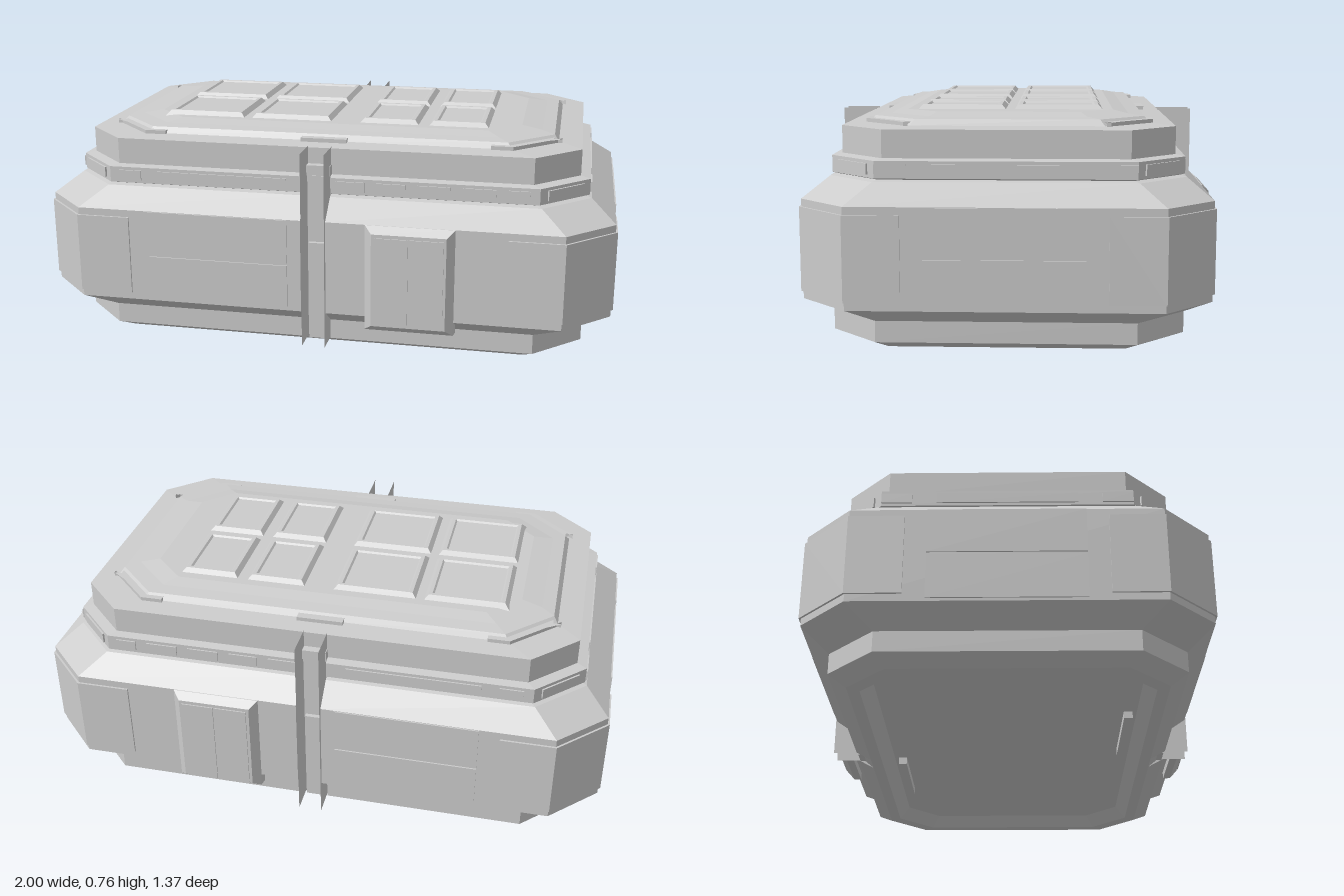
import * as THREE from 'three';

const mat = new THREE.MeshStandardMaterial({ color: 0xcccccc, flatShading: true, side: THREE.DoubleSide });
const NOTCH_X = 0.043, NOTCH_Z = 0.555;

// Chamfered rectangle in plan, optionally with a slot in the middle of each long side
function ring([hx, hz, c, y], notched) {
  const half = s => {
    const pts = [[-hx + c, hz]];
    if (notched) {
      const d = Math.min(hz, NOTCH_Z);
      pts.push([-NOTCH_X, hz], [-NOTCH_X, d], [NOTCH_X, d], [NOTCH_X, hz]);
    }
    pts.push([hx - c, hz], [hx, hz - c]);
    // start of the end face closes on the next half
    pts.push([hx, -hz + c]);
    return pts.map(([x, z]) => new THREE.Vector3(s * x, y, s * z));
  };
  return [...half(1), ...half(-1)];
}

// Skin a list of [halfX, halfZ, chamfer, y] sections and cap both ends
function loft(sections, notched = false) {
  const rings = sections.map(s => ring(s, notched));
  const pos = [];
  const tri = (a, b, c) => {
    const n = b.clone().sub(a).cross(c.clone().sub(a));
    if (n.length() > 1e-9) for (const p of [a, b, c]) pos.push(p.x, p.y, p.z);
  };
  const n = rings[0].length;
  for (let r = 0; r < rings.length - 1; r++) {
    const lo = rings[r], up = rings[r + 1];
    for (let i = 0; i < n; i++) {
      const j = (i + 1) % n;
      tri(lo[i], lo[j], up[j]);
      tri(lo[i], up[j], up[i]);
    }
  }
  const first = rings[0], last = rings[rings.length - 1];
  const c0 = new THREE.Vector3(0, first[0].y, 0), c1 = new THREE.Vector3(0, last[0].y, 0);
  for (let i = 0; i < n; i++) {
    const j = (i + 1) % n;
    tri(c0, first[j], first[i]);
    tri(c1, last[i], last[j]);
  }
  const g = new THREE.BufferGeometry();
  g.setAttribute('position', new THREE.Float32BufferAttribute(pos, 3));
  g.computeVertexNormals();
  return g;
}

// Plate that wraps one chamfered corner
function cornerWrap(hx, hz, c, xs, zs, thick, y0, y1, sx, sz) {
  const edge = (d) => {
    const k = c + 0.59 * d;
    return [[xs, hz + d], [hx + d - k, hz + d], [hx + d, hz + d - k], [hx + d, zs]];
  };
  const pts = [...edge(thick), ...edge(-0.015).reverse()];
  const shape = new THREE.Shape(pts.map(([x, z]) => new THREE.Vector2(sx * x, -sz * z)));
  const g = new THREE.ExtrudeGeometry(shape, { depth: y1 - y0, bevelEnabled: false });
  return g.rotateX(-Math.PI / 2).translate(0, y0, 0);
}

export function createModel() {
  const model = new THREE.Group();
  const add = (name, geo) => {
    const m = new THREE.Mesh(geo, mat);
    m.name = name;
    model.add(m);
    return m;
  };
  const box = (name, w, h, d, x, y, z, ry = 0) => {
    const m = add(name, new THREE.BoxGeometry(w, h, d));
    m.position.set(x, y, z);
    m.rotation.y = ry;
    return m;
  };

  // Hull: recessed floor, foot, bulging body, band, upper wall and roof
  add('hull', loft([
    [0.76, 0.44, 0.12, 0.04], [0.80, 0.48, 0.13, 0], [0.84, 0.52, 0.14, 0],
    [0.90, 0.575, 0.16, 0.03], [0.90, 0.575, 0.16, 0.1],
    [0.993, 0.655, 0.16, 0.155], [0.993, 0.655, 0.16, 0.48],
    [0.91, 0.575, 0.16, 0.545], [0.89, 0.555, 0.155, 0.55], [0.903, 0.57, 0.16, 0.555],
    [0.903, 0.57, 0.16, 0.61], [0.87, 0.54, 0.15, 0.615], [0.87, 0.54, 0.15, 0.705],
    [0.79, 0.46, 0.15, 0.71], [0.775, 0.445, 0.15, 0.73],
    [0.73, 0.395, 0.14, 0.735], [0.66, 0.345, 0.11, 0.745],
  ], true));

  // Framed roof panels, a wide set and a narrow set
  const columns = [[-0.475, 0.15], [-0.155, 0.15], [0.2, 0.108], [0.445, 0.108]];
  for (const [x, hx] of columns) for (const z of [-0.163, 0.163]) {
    const hz = 0.152;
    const p = add('roofPanel', loft([
      [hx, hz, 0, 0.74], [hx - 0.018, hz - 0.018, 0, 0.76],
      [hx - 0.03, hz - 0.03, 0, 0.76], [hx - 0.036, hz - 0.036, 0, 0.754],
    ]));
    p.position.set(x, 0, z);
  }

  for (const sx of [-1, 1]) for (const sz of [-1, 1]) {
    // Corner armour, roof corner trim and corner windows of the band
    add('cornerPlate', cornerWrap(0.993, 0.655, 0.16, 0.65, 0.32, 0.007, 0.18, 0.455, sx, sz));
    add('roofCornerTrim', cornerWrap(0.79, 0.46, 0.15, 0.57, 0.33, 0.012, 0.7, 0.722, sx, sz));
    box('cornerWindow', 0.16, 0.035, 0.012, sx * 0.823, 0.582, sz * 0.49, sx * sz * Math.PI / 4);
  }

  for (const s of [-1, 1]) {
    // Long sides: double panel, band windows
    for (const y of [0.241, 0.402]) {
      box('longSidePanel', 0.49, 0.153, 0.012, -0.335, y, s * 0.654);
      box('endPanel', 0.012, 0.153, 0.5, s * 0.992, y, 0);
    }
    const windows = [[-0.67, 0.08], [-0.34, 0.46], [0.11, 0.1], [0.25, 0.1], [0.395, 0.11], [0.545, 0.11], [0.675, 0.07]];
    for (const [x, w] of windows) box('bandWindow', w, 0.035, 0.012, x, 0.582, s * 0.569);

    // End windows of the band
    for (const [z, w] of [[-0.36, 0.1], [0, 0.46], [0.36, 0.1]])
      box('endBandWindow', 0.012, 0.035, w, s * 0.902, 0.582, z);

    // Bulging hatch with a pair of door leaves
    const hatch = add('hatch', loft([[0.155, 0.185, 0, 0.63], [0.15, 0.185, 0, 0.658], [0.125, 0.162, 0, 0.683]]));
    hatch.rotation.x = s * Math.PI / 2;
    hatch.position.set(0.328, 0.295, 0);
    for (const x of [0.27, 0.388]) box('doorLeaf', 0.113, 0.31, 0.012, x, 0.29, s * 0.681);

    // Central slot: rib, lock block and thin guide fins
    box('slotRib', 0.07, 0.35, 0.04, 0, 0.2, s * 0.55);
    box('lockBlock', 0.085, 0.035, 0.04, 0, 0.632, s * 0.548);
    box('roofTab', 0.16, 0.02, 0.05, 0, 0.712, s * 0.455);
    for (const x of [-0.04, 0.04]) {
      const fin = add('guideFin', new THREE.PlaneGeometry(0.125, 0.68));
      fin.rotation.y = Math.PI / 2;
      fin.position.set(x, 0.37, s * 0.5975);
    }

    // Rail beside the slot on the underside
    box('floorRail', 0.36, 0.03, 0.03, -s * 0.22, 0.03, s * 0.41);
  }
  return model;
}
